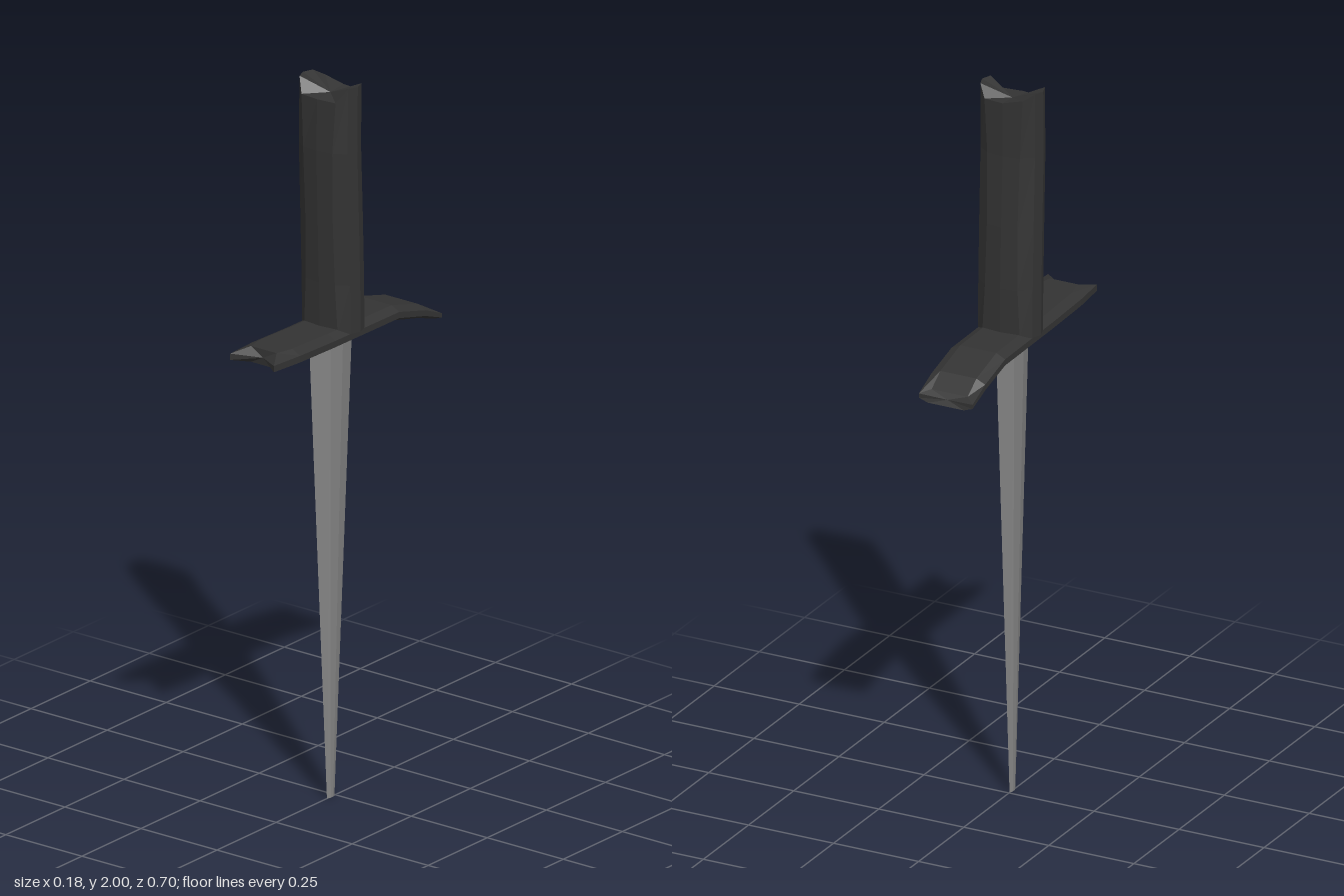
import * as THREE from 'three';

const dark = new THREE.MeshStandardMaterial({ color: 0x333333, flatShading: true });
const steel = new THREE.MeshStandardMaterial({ color: 0x858585, flatShading: true });

// Skins a list of equal-length rings and closes both ends around a centre point
function loft(name, rings, startCentre, endCentre, material) {
  const n = rings[0].length;
  const pos = [...rings.flat(), startCentre, endCentre].flat();
  const start = rings.length * n, end = start + 1;
  const index = [];
  for (let i = 0; i < n; i++) {
    const j = (i + 1) % n;
    for (let r = 0; r < rings.length - 1; r++) {
      const a = r * n, b = a + n;
      index.push(a + i, b + i, a + j, a + j, b + i, b + j);
    }
    const last = start - n;
    index.push(start, i, j, end, last + j, last + i);
  }
  const geo = new THREE.BufferGeometry();
  geo.setAttribute('position', new THREE.Float32BufferAttribute(pos, 3));
  geo.setIndex(index);
  const flat = geo.toNonIndexed();
  flat.computeVertexNormals();
  const mesh = new THREE.Mesh(flat, material);
  mesh.name = name;
  return mesh;
}

// Tapering blade with a flat middle and bevelled edges
function makeBlade() {
  const ring = (y, c, half, t) => [
    [t, y, c - half * 0.3], [t, y, c + half * 0.3], [0, y, c + half],
    [-t, y, c + half * 0.3], [-t, y, c - half * 0.3], [0, y, c - half],
  ];
  return loft('blade', [ring(0, 0.019, 0.016, 0.004), ring(1.31, 0.019, 0.092, 0.02)],
    [0, 0, 0.019], [0, 1.31, 0.019], steel);
}

// Slightly curved faceted grip, its end hollowed between two raised sides
function makeGrip() {
  const ring = (y, c, half, f, end = false) => {
    const outline = [
      [0.09, 0], [0.08, 0.5], [f, 0.9], [0, 1], [-f, 0.9], [-0.08, 0.5],
      [-0.09, 0], [-0.08, -0.5], [-f, -0.9], [0, -1], [f, -0.9], [0.08, -0.5],
    ];
    return outline.map(([x, k]) => {
      let py = y;
      if (end) {
        if (Math.abs(x) > 0.07) py = 2;
        else if (k > 0) py = 1.962;
        else py = x < 0 ? 1.985 : 1.97;
      }
      return [x, py, c + k * half];
    });
  };
  const rings = [
    ring(1.315, 0.008, 0.058, 0.055), ring(1.45, 0.01, 0.059, 0.048),
    ring(1.62, 0.015, 0.059, 0.045), ring(1.82, 0.022, 0.058, 0.048),
    ring(1.96, 0.02, 0.056, 0.056, true),
  ];
  return loft('grip', rings, [0, 1.315, 0.008], [0, 1.965, 0.02], dark);
}

// Cross-guard running front to back, drooping at the back and notched at the front
function makeGuard() {
  const ring = (z, top, bottom, horn = 0, lean = 0) => {
    const mid = (top + bottom) / 2, e = (top - bottom) * 0.2;
    const w = horn ? 0.072 : 0.079;
    const f = horn ? 0.042 : 0.053;
    return [
      [0, top, z + lean], [f, top, z + lean], [w, mid + e, z + horn], [w, mid - e, z + horn],
      [f, bottom, z], [0, bottom, z], [-f, bottom, z],
      [-w, mid - e, z + horn], [-w, mid + e, z + horn], [-f, top, z + lean],
    ];
  };
  const rings = [
    ring(-0.35, 1.262, 1.232, 0, 0.022), ring(-0.28, 1.295, 1.255),
    ring(-0.17, 1.325, 1.282), ring(0.1, 1.328, 1.284),
    ring(0.25, 1.333, 1.287), ring(0.302, 1.334, 1.29, 0.05),
  ];
  return loft('guard', rings, [0, 1.247, -0.34], [0, 1.312, 0.305], dark);
}

export function createModel() {
  const model = new THREE.Group();
  model.name = 'dagger';
  model.add(makeBlade(), makeGrip(), makeGuard());
  return model;
}
